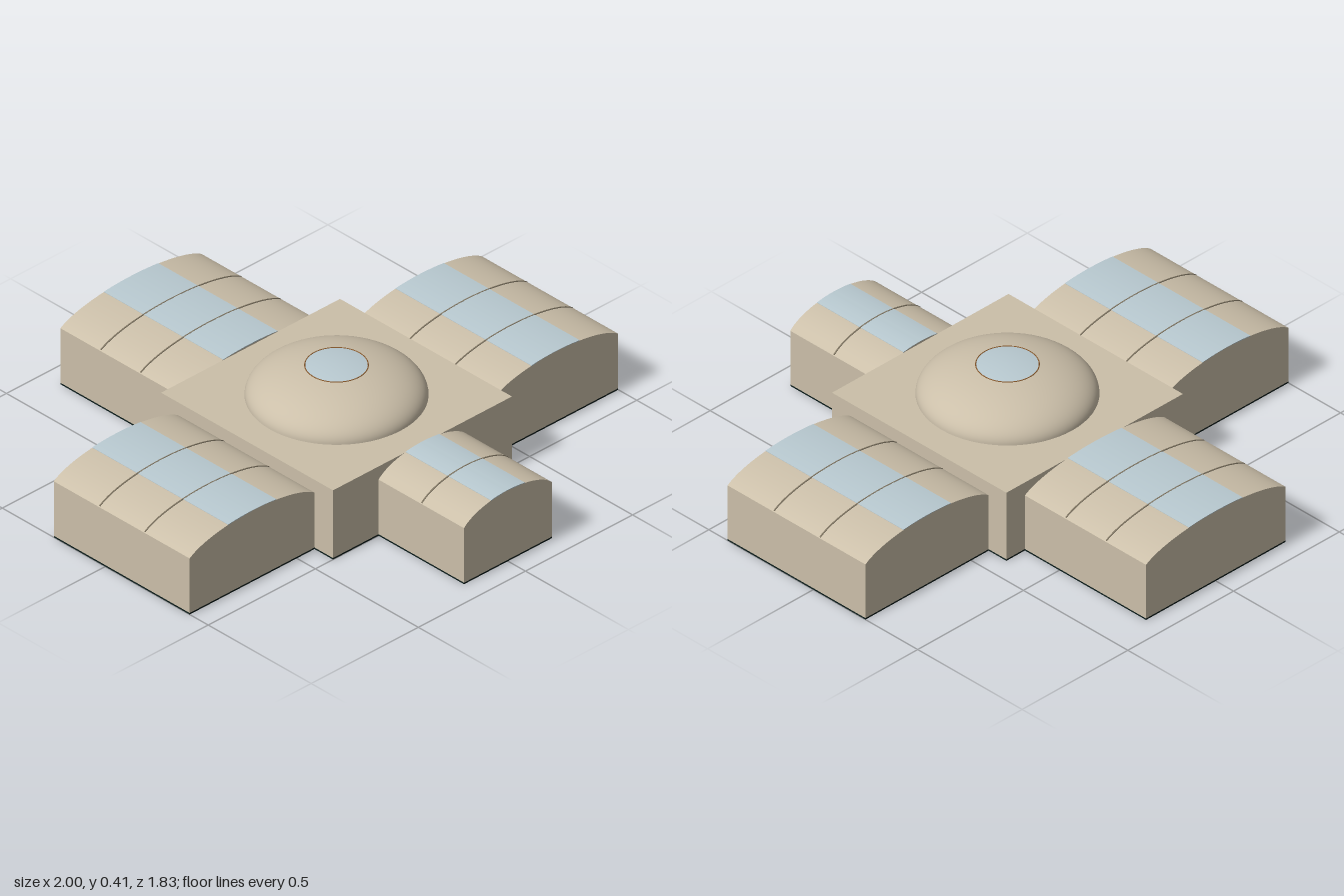
import * as THREE from 'three';
import { toCreasedNormals } from 'three/addons/utils/BufferGeometryUtils.js';

const mat = (name, color) => Object.assign(new THREE.MeshStandardMaterial({ color }), { name });

export function createModel() {
  const stone = mat('stone', 0xcbbfa9);
  const glass = mat('skylight glass', 0xb9cad1);
  const seam = mat('roof seam', 0x7d7360);
  const rust = mat('oculus rim', 0x8a5a2c);
  const dark = mat('foundation', 0x0c1d1b);
  const model = new THREE.Group();
  model.name = 'vaultedPavilion';

  const add = (parent, name, geo, material, x = 0, y = 0, z = 0) => {
    const m = new THREE.Mesh(geo, material);
    m.name = name;
    m.position.set(x, y, z);
    parent.add(m);
    return m;
  };
  const FLOOR = 0.006, EAVE = 0.225, CROWN = 0.285;

  // shallow vault curve across a half width w, limited to |x| <= f * w, lifted by d
  const vault = (w, f, d, n = 36) => {
    const c = Math.cos(0.38), s0 = Math.sin(0.38);
    const a0 = Math.acos(f * c);
    return Array.from({ length: n + 1 }, (_, i) => {
      const a = a0 + (Math.PI - 2 * a0) * i / n;
      const h = (Math.sin(a) - s0) / (1 - s0);
      return new THREE.Vector2(w * Math.cos(a) / c, EAVE + (CROWN - EAVE) * h + d);
    });
  };
  const extrude = (pts, depth) => {
    const g = new THREE.ExtrudeGeometry(new THREE.Shape(pts), { depth, bevelEnabled: false });
    return toCreasedNormals(g, 0.5);
  };
  // thin curved sheet following the vault
  const sheet = (w, f, lift, depth) =>
    extrude([...vault(w, f, lift), ...vault(w, f, -0.002).reverse()], depth);

  // a wing: walls with a vaulted roof, a glazed strip and seams between bays
  const wing = (name, x, z0, z1, w, bays) => {
    const g = new THREE.Group();
    g.name = name;
    g.position.set(x, 0, z0);
    const len = z1 - z0;
    const V = (a, b) => new THREE.Vector2(a, b);
    add(g, 'vaultedHall', extrude([V(-w, FLOOR), V(w, FLOOR), ...vault(w, 1, 0)], len), stone);
    add(g, 'skylightStrip', sheet(w, 0.385, 0.0015, len), glass);
    for (let i = 1; i < bays; i++)
      add(g, 'roofSeam', sheet(w, 0.99, 0.002, 0.005), seam, 0, 0, len * i / bays - 0.0025);
    add(g, 'foundation', new THREE.BoxGeometry(w * 2, FLOOR, len), dark, 0, FLOOR / 2, len / 2);
    model.add(g);
  };
  wing('rightWing', -0.7075, -0.25, 0.41, 0.2925, 3);
  wing('leftWing', 0.7075, -0.25, 0.41, 0.2925, 3);
  wing('backWing', 0, -0.915, -0.335, 0.33, 3);
  wing('frontEntrance', 0, 0.5, 0.915, 0.205, 2);

  // central block
  const cz = 0.0825, side = 0.835, top = 0.278;
  add(model, 'centralBlock', new THREE.BoxGeometry(side, top - FLOOR, side), stone, 0, (top + FLOOR) / 2, cz);
  add(model, 'centralFoundation', new THREE.BoxGeometry(side, FLOOR, side), dark, 0, FLOOR / 2, cz);

  // flattened dome with a glazed oculus
  const R = 0.31, H = 0.127, rim = 0.107;
  const arc = (a0, a1, n) => Array.from({ length: n + 1 }, (_, i) => {
    const a = a0 + (a1 - a0) * i / n;
    return new THREE.Vector2(Math.max(0, R * Math.cos(a)), H * Math.sin(a));
  });
  const aRim = Math.acos(rim / R);
  add(model, 'dome', new THREE.LatheGeometry(arc(0, aRim, 24), 64), stone, 0, top, cz);
  add(model, 'oculusGlass', new THREE.LatheGeometry(arc(aRim, Math.PI / 2, 8), 64), glass, 0, top, cz);
  const ring = add(model, 'oculusRim', new THREE.TorusGeometry(rim, 0.002, 6, 64), rust, 0, top + H * Math.sin(aRim), cz);
  ring.rotation.x = Math.PI / 2;

  return model;
}
